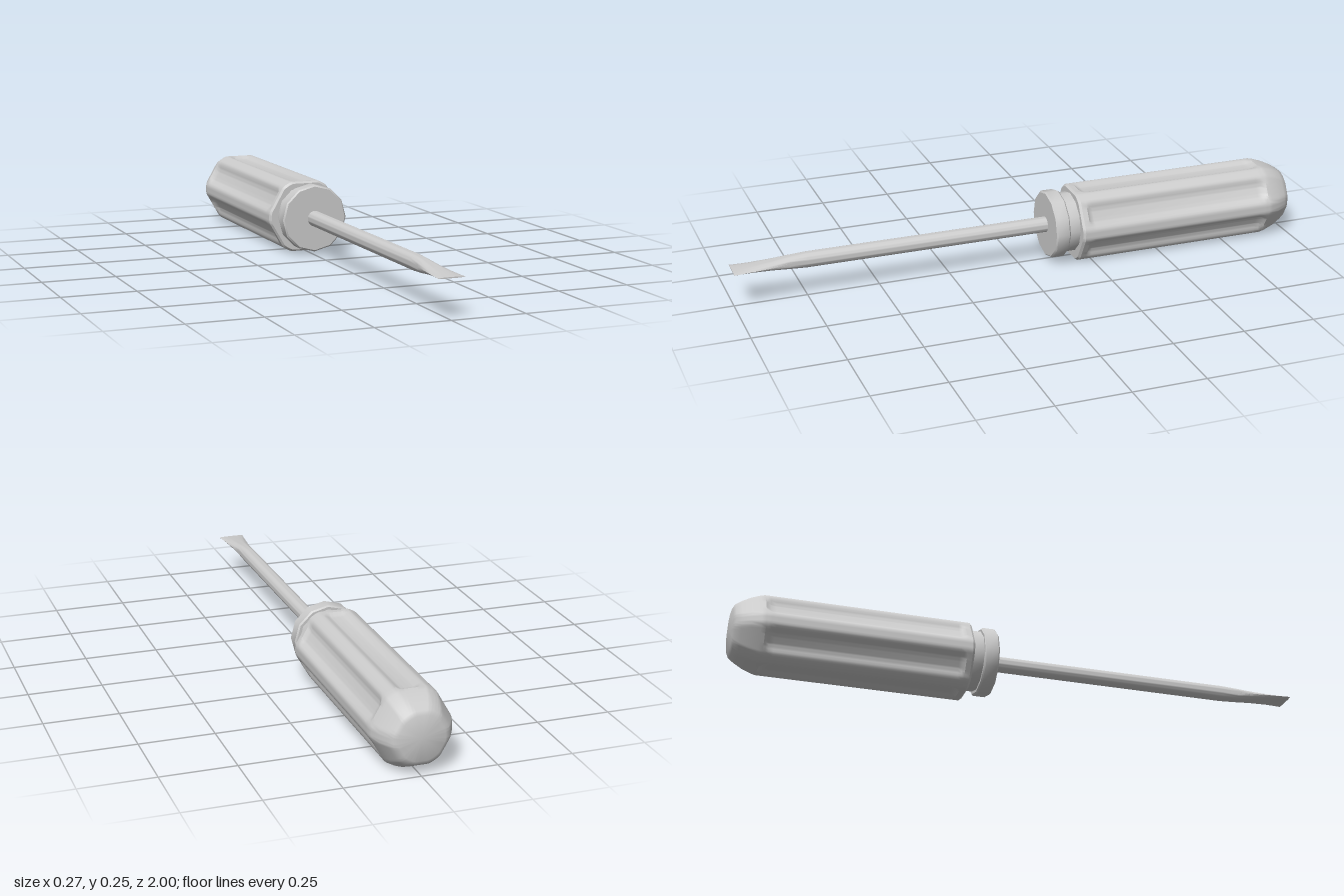
import * as THREE from 'three';
import { toCreasedNormals } from 'three/addons/utils/BufferGeometryUtils.js';

const material = new THREE.MeshStandardMaterial({ color: 0xcccccc });

// Skin over cross-sections listed from back (-z) to front (+z); both ends capped.
// point(section, angle) gives [x, y] for each of n steps around.
function loft(sections, n, point, crease) {
  const pos = [], index = [];
  for (const s of sections) {
    for (let j = 0; j < n; j++) {
      const [x, y] = point(s, (j / n) * Math.PI * 2);
      pos.push(x, y, s.z);
    }
  }
  const last = sections.length - 1;
  for (let i = 0; i < last; i++) {
    for (let j = 0; j < n; j++) {
      const k = (j + 1) % n;
      const a = i * n + j, b = i * n + k, c = a + n, d = b + n;
      index.push(a, b, d, a, d, c);
    }
  }
  const back = pos.length / 3;
  pos.push(0, 0, sections[0].z, 0, 0, sections[last].z);
  for (let j = 0; j < n; j++) {
    const k = (j + 1) % n;
    index.push(back, k, j, back + 1, last * n + j, last * n + k);
  }
  const geo = new THREE.BufferGeometry();
  geo.setAttribute('position', new THREE.Float32BufferAttribute(pos, 3));
  geo.setIndex(index);
  return toCreasedNormals(geo, crease);
}

// Hexagonal grip outline with blunt corners; w is half the groove angle, d its depth
function gripPoint({ flat, corner, d = 0, w = 20 }, angle) {
  const step = Math.PI / 3;
  const rel = (angle % step) - step / 2; // zero in the middle of each flat
  let r = Math.min(flat / Math.cos(rel), corner);
  const t = Math.abs(THREE.MathUtils.radToDeg(rel)) / w;
  if (t < 1) r -= d * Math.min(1, (1 - t) * 2.2);
  return [r * Math.cos(angle), r * Math.sin(angle)];
}

// Round shaft flattening into a wide thin blade
function shaftPoint({ w, h, p }, angle) {
  const c = Math.cos(angle), s = Math.sin(angle);
  return [w * Math.sign(c) * Math.abs(c) ** p, h * Math.sign(s) * Math.abs(s) ** (1 / p)];
}

// Ring around the z axis with twelve sides
function ring(points) {
  const geo = new THREE.LatheGeometry(points.map(([r, y]) => new THREE.Vector2(r, y)), 12);
  geo.rotateX(Math.PI / 2);
  return toCreasedNormals(geo, 0.6);
}

export function createModel() {
  const group = new THREE.Group();
  const add = (name, geo, y) => {
    const mesh = new THREE.Mesh(geo, material);
    mesh.name = name;
    mesh.position.y = y;
    group.add(mesh);
  };

  // Grip: domed butt, six scooped flats, bevelled front
  const full = { flat: 0.124, corner: 0.134 };
  add('grip', loft([
    { z: -1, flat: 0.074, corner: 0.076 },
    { z: -0.993, flat: 0.087, corner: 0.09 },
    { z: -0.975, flat: 0.098, corner: 0.103 },
    { z: -0.945, flat: 0.112, corner: 0.119 },
    { z: -0.915, flat: 0.121, corner: 0.13 },
    { z: -0.9, ...full },
    { z: -0.893, ...full, d: 0.005, w: 13 },
    { z: -0.882, ...full, d: 0.01, w: 18 },
    { z: -0.865, ...full, d: 0.012 },
    { z: -0.24, ...full, d: 0.012 },
    { z: -0.228, ...full, d: 0.009, w: 18 },
    { z: -0.218, ...full },
    { z: -0.2, ...full },
    { z: -0.192, flat: 0.118, corner: 0.127 },
  ], 120, gripPoint, 0.6), 0.124);

  // Neck and collar
  add('neck', ring([[0, -0.2], [0.104, -0.2], [0.104, -0.14], [0, -0.14]]), 0.13);
  add('collar', ring([
    [0, -0.152], [0.113, -0.152], [0.118, -0.147], [0.118, -0.106], [0.113, -0.101], [0, -0.101],
  ]), 0.13);

  // Shaft and flared flat tip
  add('shaftAndBlade', loft([
    { z: -0.13, w: 0.027, h: 0.027, p: 1 },
    { z: 0.75, w: 0.027, h: 0.027, p: 1 },
    { z: 0.81, w: 0.028, h: 0.023, p: 0.95 },
    { z: 0.87, w: 0.033, h: 0.016, p: 0.8 },
    { z: 0.94, w: 0.04, h: 0.009, p: 0.65 },
    { z: 1, w: 0.046, h: 0.002, p: 0.5 },
  ], 32, shaftPoint, 0.7), 0.13);

  return group;
}
